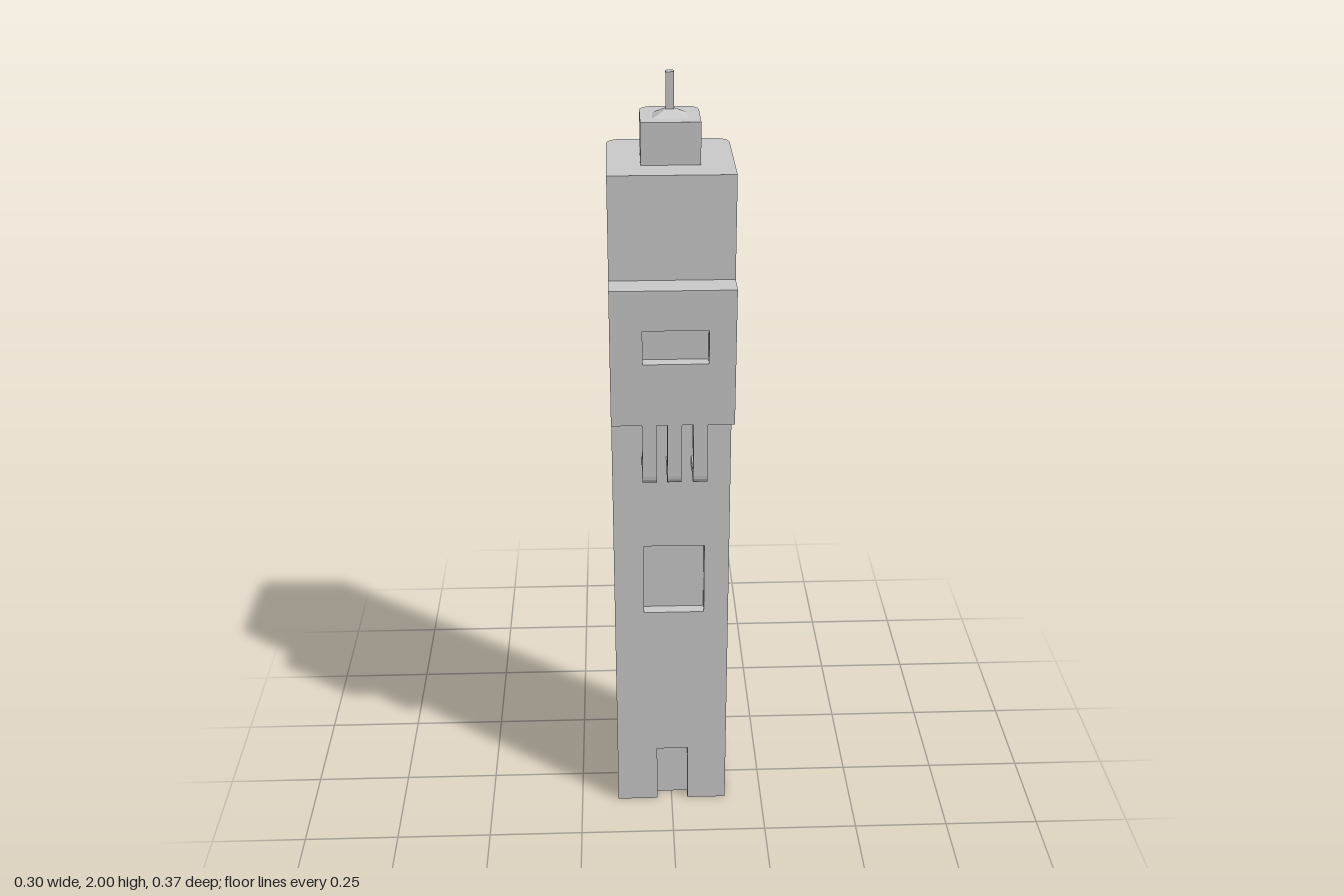
import * as THREE from 'three';
import { toCreasedNormals } from 'three/addons/utils/BufferGeometryUtils.js';

const HW = 0.149, BACK = -0.186, R = 0.034;
const TOP = 1.8, LEDGE_TOP = 1.55, LEDGE_BOTTOM = 1.205;

// Depth of the three front faces at height y
const lowerZ = y => 0.113 - 0.036 * y / LEDGE_BOTTOM;
const bayZ = () => 0.185;
const upperZ = y => 0.118 - 0.007 * (y - LEDGE_TOP) / (TOP - LEDGE_TOP);

const material = new THREE.MeshStandardMaterial({ color: 0xcccccc, side: THREE.DoubleSide });

function add(group, name, geometry) {
  const mesh = new THREE.Mesh(geometry, material);
  mesh.name = name;
  group.add(mesh);
  return mesh;
}

// Plan outline: square at the front, rounded at the back corners, as [x, z]
function footprint(hw, front, back, r, steps = 8) {
  const pts = [[hw, front]];
  for (const [cx, start] of [[hw - r, 0], [-hw + r, Math.PI / 2]]) {
    for (let i = 0; i <= steps; i++) {
      const a = start + (i / steps) * Math.PI / 2;
      pts.push([cx + r * Math.cos(a), back + r - r * Math.sin(a)]);
    }
  }
  pts.push([-hw, front]);
  return pts;
}

// Wall between two outlines with equal point counts
function loft(a, ya, b, yb, closed) {
  const pos = [], n = a.length;
  for (let i = 0; i < (closed ? n : n - 1); i++) {
    const j = (i + 1) % n;
    const A = [a[i][0], ya, a[i][1]], B = [a[j][0], ya, a[j][1]];
    const C = [b[j][0], yb, b[j][1]], D = [b[i][0], yb, b[i][1]];
    pos.push(...A, ...B, ...C, ...A, ...C, ...D);
  }
  const g = new THREE.BufferGeometry();
  g.setAttribute('position', new THREE.Float32BufferAttribute(pos, 3));
  return toCreasedNormals(g, 0.5);
}

// Flat lid over an outline
function lid(outline, y) {
  const shape = new THREE.Shape(outline.map(([x, z]) => new THREE.Vector2(x, -z)));
  return new THREE.ShapeGeometry(shape).rotateX(-Math.PI / 2).translate(0, y, 0);
}

// Push every vertex forward by the depth rule
function lean(geometry, zOf) {
  const p = geometry.attributes.position;
  for (let i = 0; i < p.count; i++) p.setZ(i, p.getZ(i) + zOf(p.getY(i)));
  geometry.computeVertexNormals();
  return geometry;
}

const rect = (x0, x1, y0, y1) =>
  [[x0, y0], [x1, y0], [x1, y1], [x0, y1]].map(p => new THREE.Vector2(...p));

function frontPanel(outline, opening, zOf) {
  const shape = new THREE.Shape(outline);
  if (opening) shape.holes.push(new THREE.Path(rect(...opening)));
  return lean(new THREE.ShapeGeometry(shape), zOf);
}

// Recess: a box seen from the inside, without its front (and optionally floor)
function recess([x0, x1, y0, y1], depth, zOf, floor = true) {
  const g = new THREE.BoxGeometry(x1 - x0, y1 - y0, depth);
  const src = Array.from(g.index.array), keep = [];
  for (let f = 0; f < 6; f++) {
    if (f === 4 || (f === 3 && !floor)) continue;
    const q = src.slice(f * 6, f * 6 + 6);
    keep.push(q[0], q[2], q[1], q[3], q[5], q[4]);
  }
  g.setIndex(keep);
  g.clearGroups();
  g.translate((x0 + x1) / 2, (y0 + y1) / 2, -depth / 2);
  return lean(g, zOf);
}

export function createModel() {
  const model = new THREE.Group();
  model.name = 'tower';

  // Rounded back wall
  const plan = footprint(HW, upperZ(TOP), BACK, R);
  const wrap = plan.slice(1, -1);
  add(model, 'backWall', loft(wrap, 0, wrap, TOP, false));

  // Side walls following the stepped front profile
  const profile = new THREE.Shape([
    [BACK + R, 0], [lowerZ(0), 0], [lowerZ(LEDGE_BOTTOM), LEDGE_BOTTOM],
    [bayZ(), LEDGE_BOTTOM], [bayZ(), LEDGE_TOP], [upperZ(LEDGE_TOP), LEDGE_TOP],
    [upperZ(TOP), TOP], [BACK + R, TOP],
  ].map(p => new THREE.Vector2(...p)));
  const sideGeo = new THREE.ShapeGeometry(profile).rotateY(-Math.PI / 2).translate(-HW, 0, 0);
  add(model, 'rightWall', sideGeo);
  add(model, 'leftWall', sideGeo).scale.x = -1;

  // Front faces with door and window openings
  const door = [-0.04, 0.044, 0, 0.17];
  const bigWindow = [-0.072, 0.085, 0.61, 0.81];
  const smallWindow = [-0.072, 0.085, 1.365, 1.45];
  const lowerOutline = [
    [-HW, 0], [door[0], 0], [door[0], door[3]], [door[1], door[3]], [door[1], 0],
    [HW, 0], [HW, LEDGE_BOTTOM], [-HW, LEDGE_BOTTOM],
  ].map(p => new THREE.Vector2(...p));
  add(model, 'lowerFront', frontPanel(lowerOutline, bigWindow, lowerZ));
  add(model, 'bayFront', frontPanel(rect(-HW, HW, LEDGE_BOTTOM, LEDGE_TOP), smallWindow, bayZ));
  add(model, 'upperFront', frontPanel(rect(-HW, HW, LEDGE_TOP, TOP), null, upperZ));
  add(model, 'doorRecess', recess(door, 0.03, lowerZ, false));
  add(model, 'largeWindowRecess', recess(bigWindow, 0.03, lowerZ));
  add(model, 'smallWindowRecess', recess(smallWindow, 0.03, bayZ));

  // Ledge above and soffit below the projecting bay
  const strip = (z0, z1, y, dir) => new THREE.PlaneGeometry(2 * HW, z1 - z0)
    .rotateX(-dir * Math.PI / 2).translate(0, y, (z0 + z1) / 2);
  add(model, 'bayLedge', strip(upperZ(LEDGE_TOP), bayZ(), LEDGE_TOP, 1));
  add(model, 'baySoffit', strip(lowerZ(LEDGE_BOTTOM), bayZ(), LEDGE_BOTTOM, -1));

  // Roof
  add(model, 'roof', lid(plan, TOP));

  // Three hooked brackets under the bay
  const hook = new THREE.Shape();
  hook.moveTo(0.185, LEDGE_BOTTOM);
  hook.lineTo(0.14, LEDGE_BOTTOM);
  hook.lineTo(0.165, 1.067);
  hook.lineTo(0.075, 1.067);
  hook.lineTo(0.075, 1.042);
  hook.lineTo(0.165, 1.042);
  hook.quadraticCurveTo(0.185, 1.042, 0.185, 1.065);
  hook.closePath();
  const width = 0.035;
  const hookGeo = new THREE.ExtrudeGeometry(hook, { depth: width, bevelEnabled: false, curveSegments: 5 })
    .rotateY(-Math.PI / 2).translate(width / 2, 0, 0);
  for (const x of [-0.057, 0.004, 0.067]) add(model, 'bracket', hookGeo).position.x = x;

  // Roof block, low cap and mast share the round-backed plan
  const block = footprint(0.07, 0.034, -0.109, 0.032);
  add(model, 'roofBlock', loft(block, TOP, block, 1.9, true));
  add(model, 'roofBlockTop', lid(block, 1.9));
  const mast = footprint(0.01, -0.027, -0.049, 0.0095);
  add(model, 'cap', loft(footprint(0.041, 0.003, -0.08, 0.036), 1.9, mast, 1.914, true));
  add(model, 'mast', loft(mast, 1.914, mast, 2, true));
  add(model, 'mastTop', lid(mast, 2));

  return model;
}
